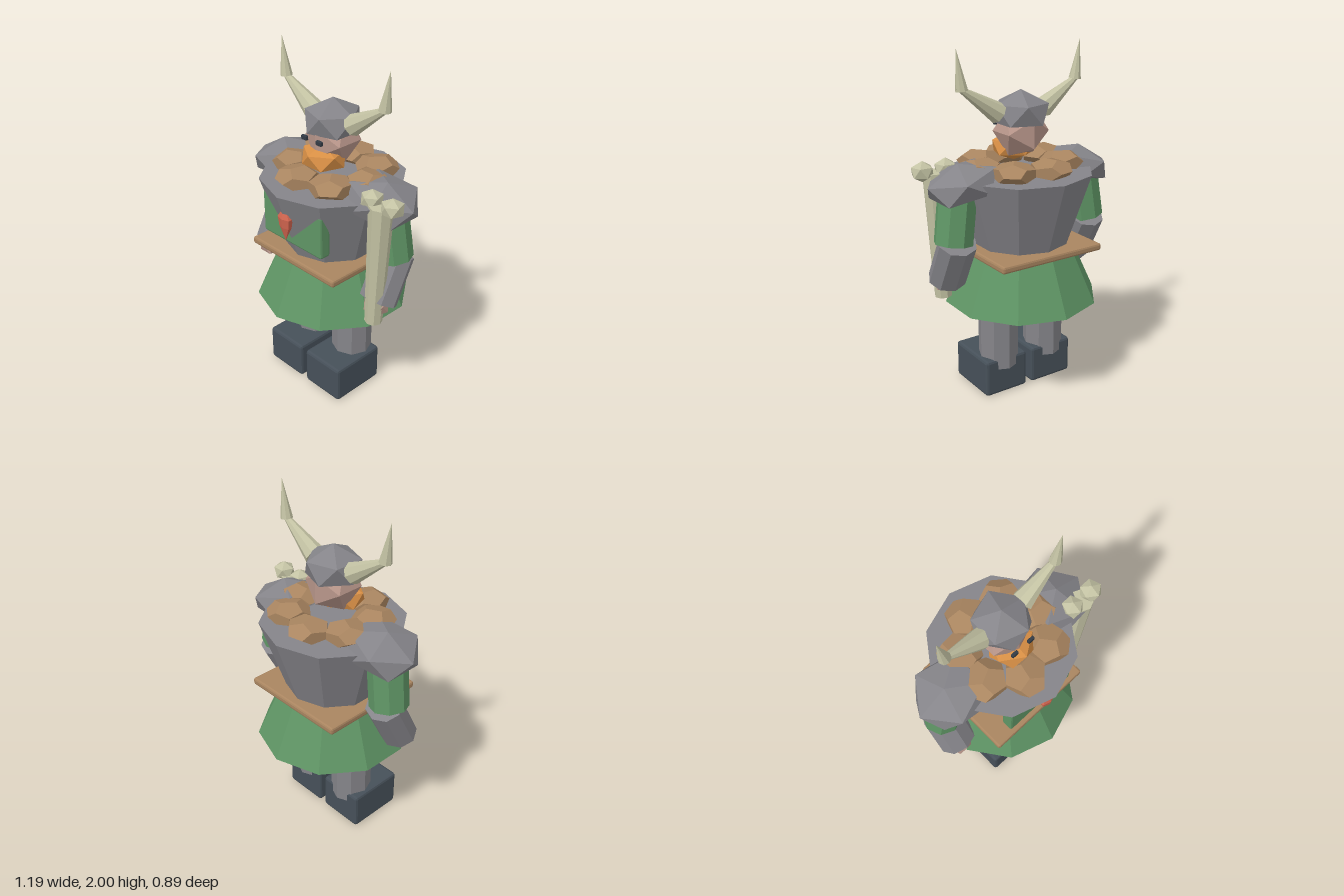
import * as THREE from 'three';
import { RoundedBoxGeometry } from 'three/addons/geometries/RoundedBoxGeometry.js';

const mat = (name, color) => {
  const m = new THREE.MeshStandardMaterial({ color, flatShading: true });
  m.name = name;
  return m;
};

export function createModel() {
  const root = new THREE.Group();
  root.name = 'hornedWarrior';
  const steel = mat('steel grey', 0x858489);
  const green = mat('cloth green', 0x5f9565);
  const brown = mat('fur brown', 0xa98560);
  const bone = mat('bone', 0xc3c2a3);
  const orange = mat('beard orange', 0xd88f45);
  const skin = mat('skin', 0xb8968a);
  const red = mat('gem red', 0xd2654f);
  const dark = mat('boot slate', 0x465059);
  const black = mat('eye dark', 0x333b45);

  // The figure is symmetric about its own axis, just beside x = 0
  const body = new THREE.Group();
  body.name = 'figure';
  body.position.x = -0.015;
  root.add(body);

  const add = (name, geo, material, pos = [0, 0, 0], parent = body) => {
    const m = new THREE.Mesh(geo, material);
    m.name = name;
    m.position.set(...pos);
    parent.add(m);
    return m;
  };
  // Faceted cylinder or cone running from point a to point b
  const limb = (name, a, b, ra, rb, sides, material, parent = body) => {
    const A = new THREE.Vector3(...a), B = new THREE.Vector3(...b);
    const dir = B.clone().sub(A);
    const m = add(name, new THREE.CylinderGeometry(rb, ra, dir.length(), sides), material,
      A.clone().add(B).multiplyScalar(0.5).toArray(), parent);
    m.quaternion.setFromUnitVectors(new THREE.Vector3(0, 1, 0), dir.normalize());
    return m;
  };
  // Icosahedron standing on a corner, stretched per axis
  const rock = (rx, ry, rz, turn = 0) =>
    new THREE.IcosahedronGeometry(1, 0).rotateX(-1.0172).rotateY(turn).scale(rx, ry, rz);
  const box = (w, h, d, r) => new RoundedBoxGeometry(w, h, d, 1, r);

  // Torso, belt and skirt
  add('torso', new THREE.CylinderGeometry(0.41, 0.26, 0.45, 10), steel, [0, 1.085, 0]);
  add('belt', box(0.66, 0.042, 0.65, 0.012), brown, [0, 0.878, 0]);
  add('skirt', new THREE.CylinderGeometry(0.31, 0.445, 0.3, 10), green, [0, 0.71, 0]);

  // Chest panel, pierced by the ridge of the torso, with a gem on it
  add('chestPanel', box(0.46, 0.255, 0.07, 0.012), green, [0, 1.112, 0.28]);
  const gemProfile = [[0, -0.085], [0.042, 0], [0.052, 0.055], [0.03, 0.085], [0, 0.085]]
    .map(([x, y]) => new THREE.Vector2(x, y));
  add('chestGem', new THREE.LatheGeometry(gemProfile, 6), red, [0, 1.115, 0.357]).scale.z = 0.55;

  // Fur collar
  for (let i = 0; i < 7; i++) {
    const a = (i / 7) * Math.PI * 2;
    const geo = new THREE.DodecahedronGeometry(0.125, 0).rotateY(-a).scale(1, 0.48, 1);
    add('furTuft', geo, brown, [0.012 + 0.245 * Math.cos(a), 1.352, 0.228 * Math.sin(a)]);
  }

  // Head, beard and helmet
  add('head', new THREE.IcosahedronGeometry(0.155, 0), skin, [0, 1.53, 0]);
  add('beard', rock(0.14, 0.083, 0.13), orange, [0, 1.435, 0.07]);
  const dome = rock(0.172, 0.137, 0.172, 0.3);
  const p = dome.attributes.position;
  for (let i = 0; i < p.count; i++) p.setY(i, Math.max(p.getY(i), -0.045)); // flat rim
  dome.computeVertexNormals();
  add('helmet', dome, steel, [0, 1.62, 0]);

  for (const s of [-1, 1]) {
    const side = s > 0 ? 'left' : 'right';
    add(side + 'Eye', box(0.04, 0.026, 0.018, 0.004), black, [s * 0.056, 1.556, 0.155]);

    // Two-part horn
    limb(side + 'HornBase', [s * 0.145, 1.64, 0], [s * 0.395, 1.802, 0], 0.06, 0.012, 8, bone);
    limb(side + 'HornTip', [s * 0.368, 1.782, 0], [s * 0.398, 2.0, 0], 0.035, 0, 8, bone);

    // Shoulder and arm
    add(side + 'Pauldron', rock(0.225, 0.112, 0.215, s * Math.PI / 2), steel,
      [s * 0.378, 1.292, 0]).rotation.z = -s * 0.25;
    limb(side + 'Sleeve', [s * 0.45, 0.965, -0.015], [s * 0.405, 1.28, 0], 0.11, 0.11, 8, green);
    limb(side + 'Forearm', [s * 0.44, 0.725, 0.085], [s * 0.44, 0.975, -0.045], 0.1, 0.1, 8, steel)
      .scale.x = 1.12;
    add(side + 'Hand', rock(0.08, 0.06, 0.075), skin, [s * 0.44, 0.7, 0.1]);

    // Leg, cuff and boot
    limb(side + 'Leg', [s * 0.158, 0.16, 0], [s * 0.158, 0.6, 0], 0.118, 0.118, 8, steel);
    limb(side + 'LegCuff', [s * 0.158, 0.51, 0], [s * 0.158, 0.62, 0], 0.146, 0.146, 8, green);
    add(side + 'Boot', box(0.277, 0.222, 0.343, 0.016), dark, [s * 0.158, 0.112, 0.079]);
  }

  // Bone club held in the left hand
  const club = new THREE.Group();
  club.name = 'boneClub';
  root.add(club);
  limb('clubShaft', [0.43, 0.61, 0.125], [0.463, 1.34, 0.125], 0.05, 0.068, 8, bone, club);
  add('clubKnob', rock(0.066, 0.058, 0.066), bone, [0.395, 1.352, 0.122], club);
  add('clubKnob', rock(0.068, 0.058, 0.066), bone, [0.535, 1.352, 0.122], club);

  return root;
}
